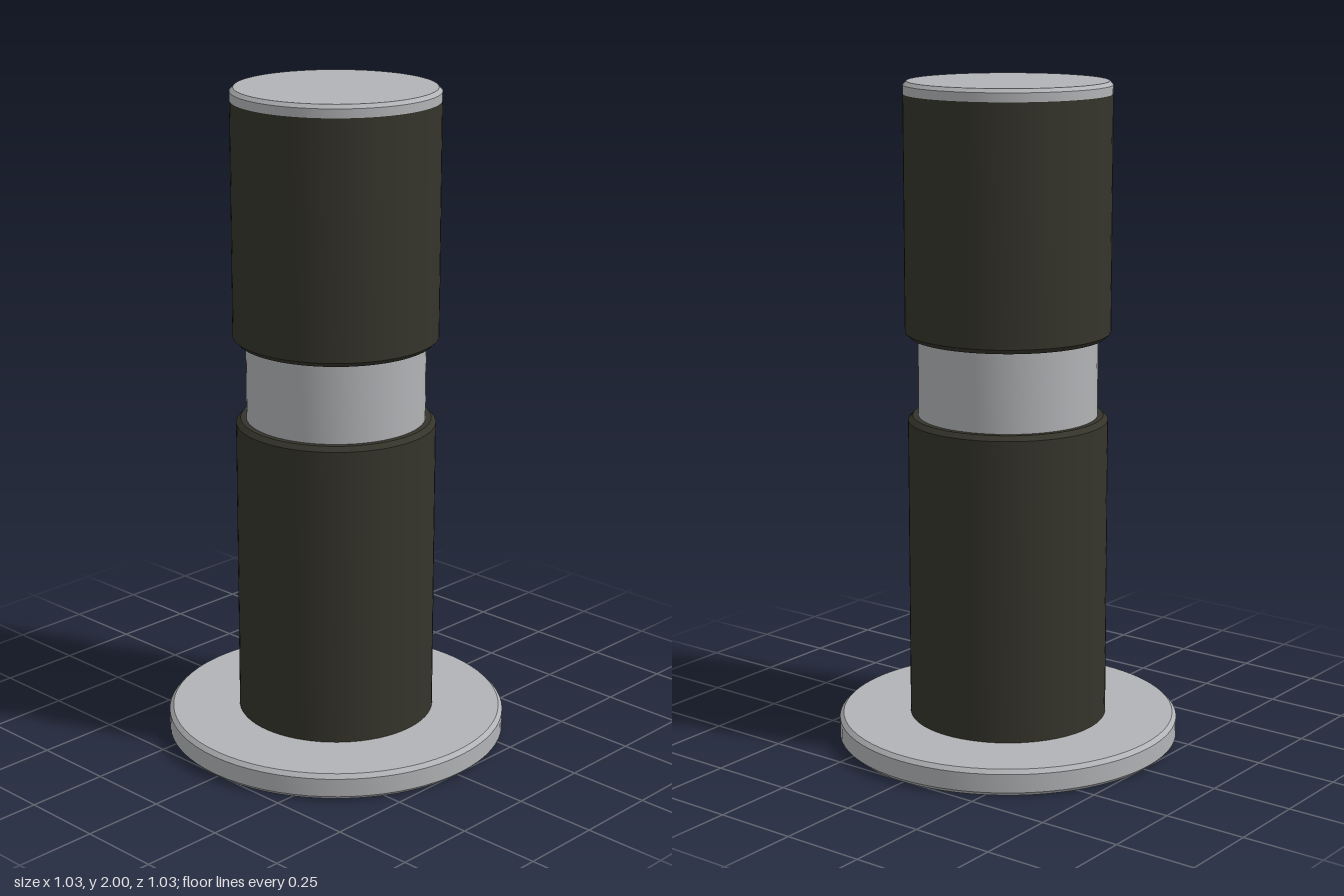
import * as THREE from 'three';
import { toCreasedNormals } from 'three/addons/utils/BufferGeometryUtils.js';

const SEGMENTS = 72;

export function createModel() {
  const group = new THREE.Group();
  const metal = new THREE.MeshStandardMaterial({ color: 0xb2b3b6 });
  metal.name = 'brushed metal';
  const dark = new THREE.MeshStandardMaterial({ color: 0x35342b });
  dark.name = 'dark sleeve';

  // Solid disc or column with optional chamfers on its bottom and top rims
  function turned(name, material, radius, y0, y1, bottomBevel = 0, topBevel = 0) {
    const profile = [[0, y0], [radius - bottomBevel, y0]];
    if (bottomBevel) profile.push([radius, y0 + bottomBevel]);
    profile.push([radius, y1 - topBevel]);
    if (topBevel) profile.push([radius - topBevel, y1]);
    profile.push([0, y1]);
    const lathe = new THREE.LatheGeometry(profile.map(([x, y]) => new THREE.Vector2(x, y)), SEGMENTS);
    const mesh = new THREE.Mesh(toCreasedNormals(lathe, 0.5), material);
    mesh.name = name;
    group.add(mesh);
  }

  turned('basePlate', metal, 0.517, 0, 0.08, 0.012, 0.012);
  turned('lowerSleeve', dark, 0.299, 0.08, 1.01, 0, 0.014);
  turned('neck', metal, 0.268, 1.01, 1.25);
  turned('upperSleeve', dark, 0.306, 1.25, 1.963, 0.014, 0);
  turned('topCap', metal, 0.306, 1.963, 2, 0, 0.011);

  return group;
}
